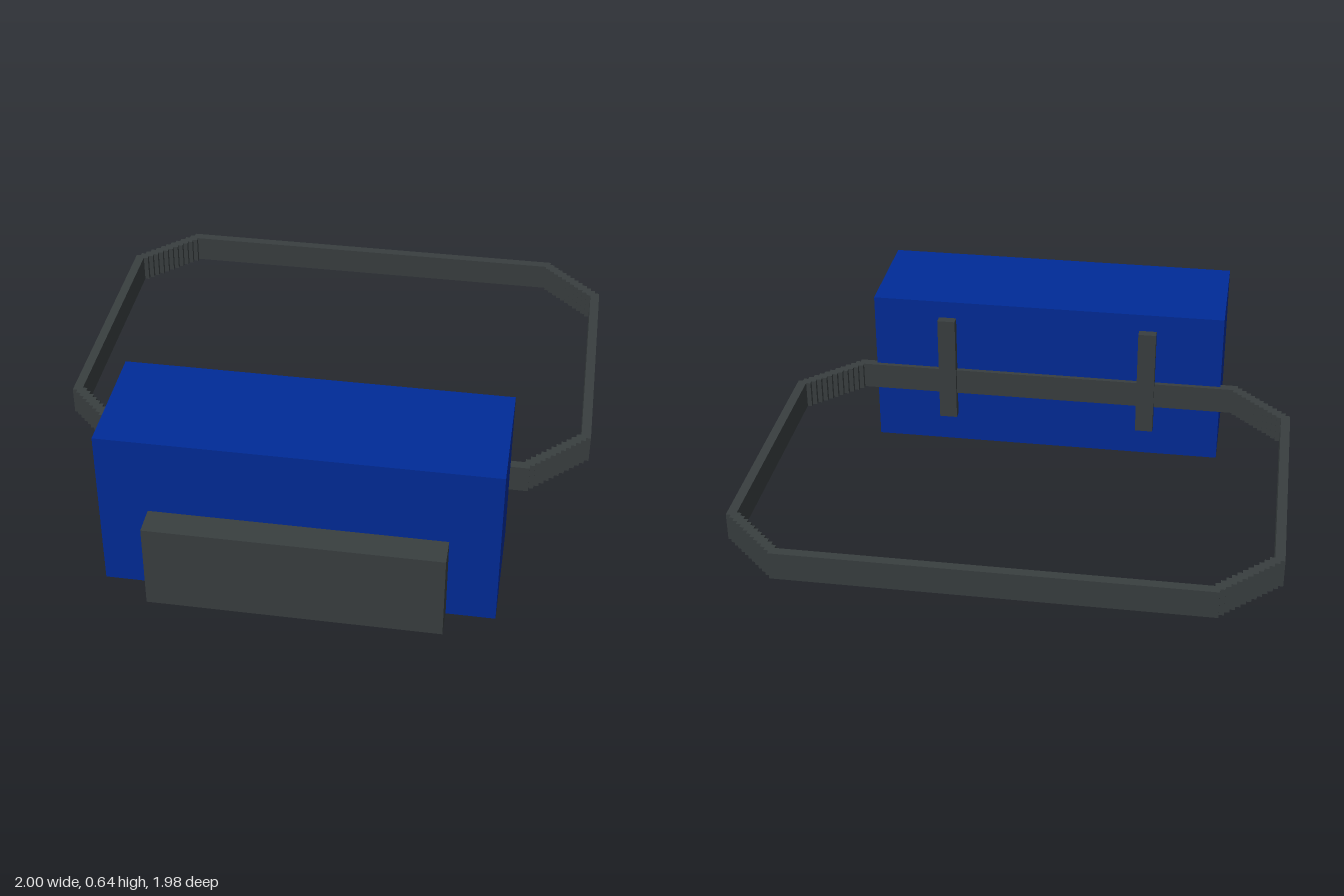
import * as THREE from 'three';

const U = 1 / 56; // modelling unit: one stair step of the belt

const blue = new THREE.MeshStandardMaterial({ color: 0x002b98 });
blue.name = 'blue fabric';
const grey = new THREE.MeshStandardMaterial({ color: 0x393f40 });
grey.name = 'dark grey strap';

// Box given by its limits in units
function box(name, material, [x0, x1], [y0, y1], [z0, z1]) {
  const geometry = new THREE.BoxGeometry((x1 - x0) * U, (y1 - y0) * U, (z1 - z0) * U);
  const mesh = new THREE.Mesh(geometry, material);
  mesh.position.set((x0 + x1) / 2 * U, (y0 + y1) / 2 * U, (z0 + z1) / 2 * U);
  mesh.name = name;
  return mesh;
}

// Closed rectangle, counter-clockwise, whose four corners are cut by a staircase
function steppedLoop(x, y, steps, outer) {
  const corner = [];
  for (let i = 0; i < steps; i++) {
    corner.push([x + i, y - i]);
    corner.push(outer ? [x + i, y - i - 1] : [x + i + 1, y - i]);
  }
  corner.push([x + steps, y - steps]);
  const flipped = [...corner].reverse();
  const place = (list, sx, sy) => list.map(([a, b]) => new THREE.Vector2(a * sx * U, b * sy * U));
  return [
    ...place(flipped, 1, 1), ...place(corner, -1, 1),
    ...place(flipped, -1, -1), ...place(corner, 1, -1),
  ];
}

export function createModel() {
  const model = new THREE.Group();
  model.name = 'waistPack';

  // Main bag and its front pocket
  model.add(box('bag', blue, [-40, 40], [0, 36], [23.5, 49.5]));
  model.add(box('frontPocket', grey, [-30, 30], [0, 19], [49.5, 55.5]));

  // Belt ring with stepped corners
  const ring = new THREE.Shape(steppedLoop(44, 40, 12, true));
  ring.holes.push(new THREE.Path(steppedLoop(42, 38, 12, false)));
  const belt = new THREE.Mesh(
    new THREE.ExtrudeGeometry(ring, { depth: 6 * U, bevelEnabled: false }), grey);
  belt.rotation.x = Math.PI / 2;
  belt.position.set(0, 19 * U, -15.5 * U);
  belt.name = 'belt';
  model.add(belt);

  // Loops holding the belt to the back of the bag
  for (const side of [-1, 1]) {
    const name = side > 0 ? 'leftBeltLoop' : 'rightBeltLoop';
    model.add(box(name, grey, [side * 23 - 2, side * 23 + 2], [7, 32], [21.5, 23.5]));
  }
  return model;
}
